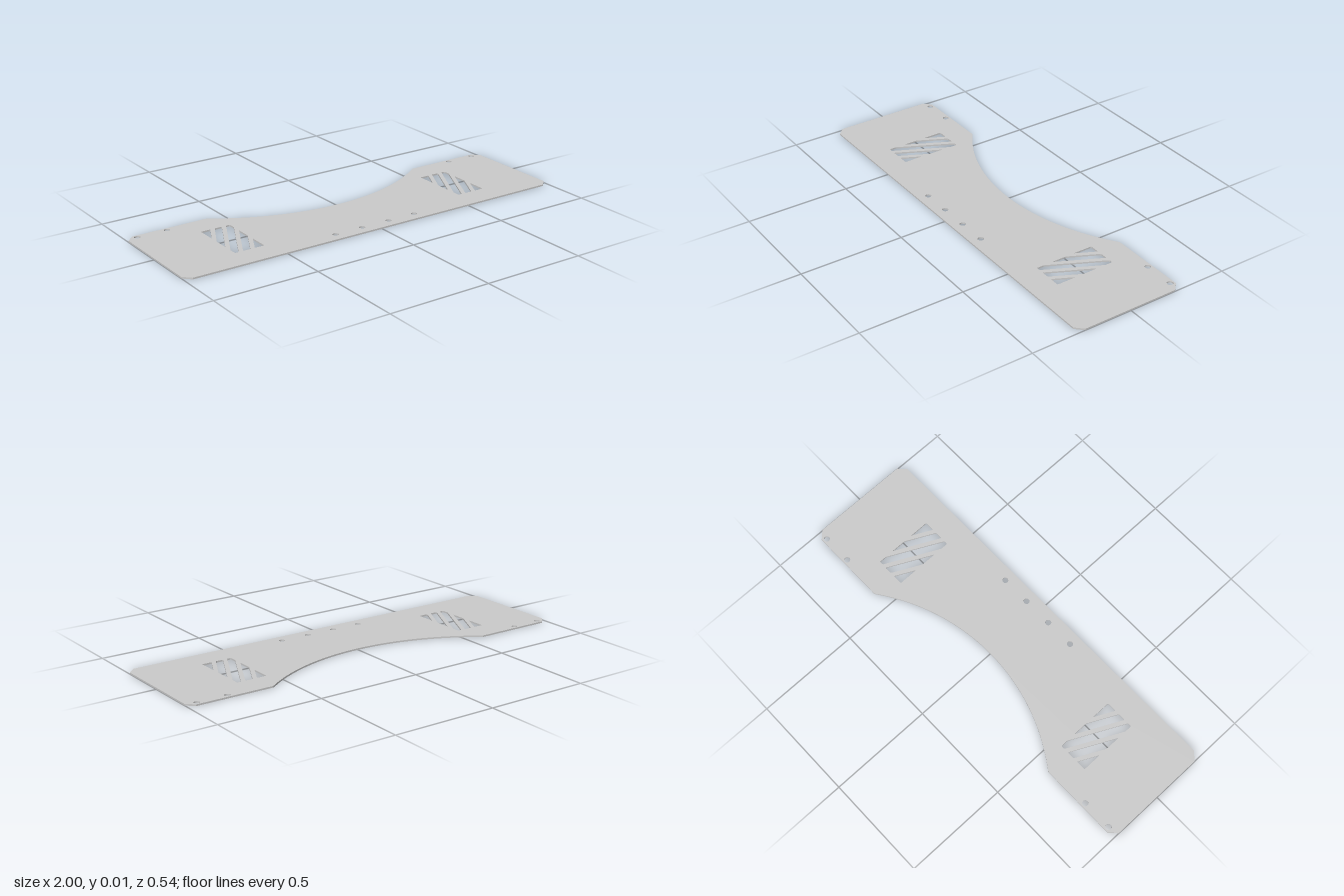
import * as THREE from 'three';

const W = 1, D = 0.272, T = 0.0075, CHAMFER = 0.035;

// Keep the side of a polygon where f(point) >= 0
function clip(points, f) {
  const out = [];
  points.forEach((p, i) => {
    const q = points[(i + 1) % points.length], a = f(p), b = f(q);
    if (a >= 0) out.push(p);
    if (a * b < 0) out.push(p.clone().lerp(q, a / (a - b)));
  });
  return out;
}

// Closed path with softened corners
function roundedPath(points, r) {
  const path = new THREE.Path();
  points.forEach((p, i) => {
    const n = points.length, prev = points[(i + n - 1) % n], next = points[(i + 1) % n];
    const toward = (q) => p.clone().lerp(q, Math.min(0.4, r / p.distanceTo(q)));
    const a = toward(prev), b = toward(next);
    if (i === 0) path.moveTo(a.x, a.y);
    else path.lineTo(a.x, a.y);
    path.quadraticCurveTo(p.x, p.y, b.x, b.y);
  });
  path.closePath();
  return path;
}

// Slanted vent slots, trimmed to a rectangular window
function ventSlots(cx) {
  const w = 0.074, h = 0.147, pitch = 0.059, half = 0.0185;
  const slant = (p) => p.x - cx - p.y * (w / h);
  const slots = [];
  for (let i = -2; i <= 2; i++) {
    let poly = [[-w, -h], [w, -h], [w, h], [-w, h]].map(([x, y]) => new THREE.Vector2(cx + x, y));
    if (i > -2) poly = clip(poly, (p) => slant(p) - (i * pitch - half));
    if (i < 2) poly = clip(poly, (p) => i * pitch + half - slant(p));
    // drop coincident corners
    poly = poly.filter((p, k) => p.distanceTo(poly[(k + 1) % poly.length]) > 1e-4);
    slots.push(roundedPath(poly, 0.006));
  }
  return slots;
}

function roundHole(x, y) {
  return new THREE.Path().absarc(x, y, 0.014, 0, Math.PI * 2, true);
}

export function createModel() {
  const group = new THREE.Group();
  group.name = 'mountingPlate';

  // Outline with chamfered corners and an arc cut into the back edge
  const arcHalf = 0.587, arcLow = 0.079, rise = D - arcLow;
  const R = (arcHalf ** 2 + rise ** 2) / (2 * rise);
  const sweep = Math.asin(arcHalf / R);
  const c = CHAMFER;
  const shape = new THREE.Shape();
  shape.moveTo(-W + c, -D);
  shape.lineTo(W - c, -D);
  shape.lineTo(W, -D + c);
  shape.lineTo(W, D - c);
  shape.lineTo(W - c, D);
  shape.lineTo(arcHalf, D);
  shape.absarc(0, arcLow + R, R, -Math.PI / 2 + sweep, -Math.PI / 2 - sweep, true);
  shape.lineTo(-W + c, D);
  shape.lineTo(-W, D - c);
  shape.lineTo(-W, -D + c);
  shape.closePath();

  // Screw holes and vents on both sides
  for (const s of [-1, 1]) {
    for (const x of [0.95, 0.803]) shape.holes.push(roundHole(s * x, 0.252));
    for (const x of [0.218, 0.073]) shape.holes.push(roundHole(s * x, -0.22));
    shape.holes.push(...ventSlots(s * 0.616));
  }

  const geometry = new THREE.ExtrudeGeometry(shape, { depth: T, bevelEnabled: false, curveSegments: 32 });
  geometry.rotateX(-Math.PI / 2);
  const plate = new THREE.Mesh(geometry, new THREE.MeshStandardMaterial({ color: 0xcccccc }));
  plate.name = 'plate';
  group.add(plate);
  return group;
}
